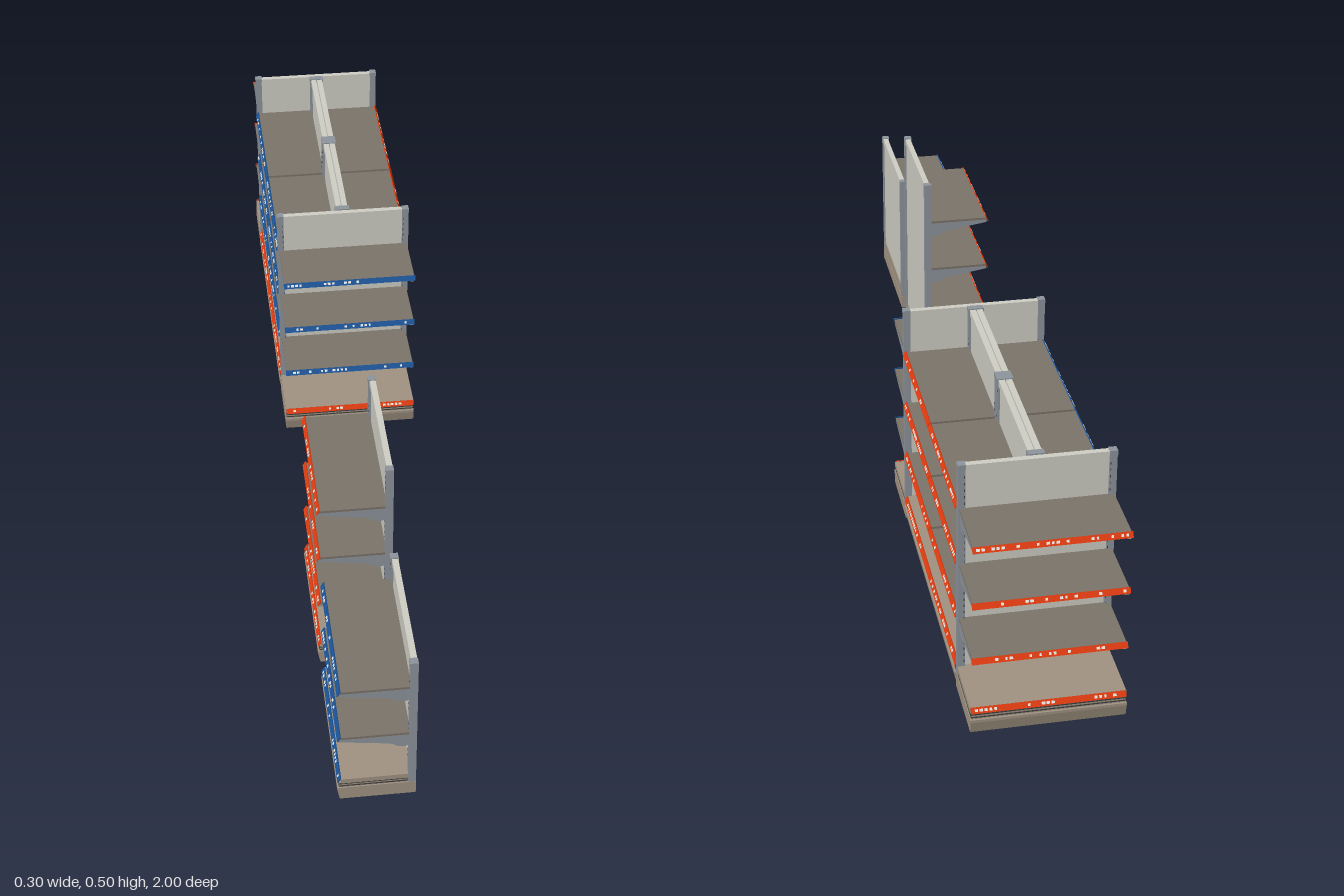
import * as THREE from 'three';
import { mergeGeometries } from 'three/addons/utils/BufferGeometryUtils.js';

const mat = (name, color) => {
  const m = new THREE.MeshStandardMaterial({ color });
  m.name = name;
  return m;
};
const M = {
  steel: mat('steel grey', 0x8d959c),
  panel: mat('panel off-white', 0xd0cfc6),
  shelf: mat('shelf taupe', 0x7c746a),
  base: mat('base beige', 0xa19382),
  red: mat('price strip red', 0xe23c10),
  blue: mat('price strip blue', 0x1d5598),
  label: mat('label white', 0xf2f2ee),
  dark: mat('slot dark', 0x3c3c3c),
};

const W = 0.295, D = 0.15, POST = 0.015; // module width, depth, post size

let seed = 7;
const rand = () => (seed = (seed * 16807) % 2147483647) / 2147483647;

function add(group, name, geometry, material, x = 0, y = 0, z = 0) {
  const mesh = new THREE.Mesh(geometry, material);
  mesh.name = name;
  mesh.position.set(x, y, z);
  group.add(mesh);
  return mesh;
}

// box given by its extents in y and z, centred on x
function slab(group, name, material, w, y0, y1, z0, z1, x = 0) {
  const g = new THREE.BoxGeometry(w, y1 - y0, z1 - z0);
  return add(group, name, g, material, x, (y0 + y1) / 2, (z0 + z1) / 2);
}

// side profile of [z, y] points, extruded across x
function profile(points, width) {
  const shape = new THREE.Shape(points.map(([z, y]) => new THREE.Vector2(z, y)));
  const g = new THREE.ExtrudeGeometry(shape, { depth: width, bevelEnabled: false });
  return g.translate(0, 0, -width / 2).rotateY(-Math.PI / 2);
}

// tilted price strip with clusters of small white labels
function priceStrip(group, material, w, top) {
  const strip = new THREE.Group();
  strip.name = 'priceStrip';
  add(strip, 'stripRail', new THREE.BoxGeometry(w, 0.012, 0.002), material);
  const tags = [];
  for (let x = -w / 2 + 0.01; x < w / 2 - 0.01; x += 0.009) {
    if (rand() < 0.62) continue;
    tags.push(new THREE.BoxGeometry(0.004 + 0.003 * rand(), 0.005, 0.001).translate(x, 0, 0.0012));
  }
  if (tags.length) add(strip, 'labels', mergeGeometries(tags), M.label);
  strip.position.set(0, top - 0.004, D - 0.004);
  strip.rotation.x = -0.5;
  group.add(strip);
}

// cantilever shelf with its two brackets
function shelf(group, y, stripMaterial) {
  const g = new THREE.Group();
  g.name = 'shelf';
  g.position.y = y;
  slab(g, 'shelfBoard', M.shelf, W - 0.007, -0.005, 0, 0.012, 0.145);
  const bracket = profile([[0.012, -0.001], [0.143, -0.001], [0.147, -0.011], [0.138, -0.013],
    [0.06, -0.025], [0.047, -0.028], [0.034, -0.036], [0.024, -0.037], [0.012, -0.034]], 0.008);
  for (const s of [-1, 1]) add(g, 'bracket', bracket, M.steel, s * (W / 2 - 0.0085), 0, 0);
  priceStrip(g, stripMaterial, W - 0.004, 0.001);
  group.add(g);
}

// one single-sided shelving module: back at z = 0, front at +z
function shelfModule(name, height, levels, shelfStrip, baseStrip) {
  const g = new THREE.Group();
  g.name = name;

  // base: toe kick, grooved fascia and bottom shelf
  add(g, 'toeKick', profile([[0, 0], [D - 0.005, 0], [D, 0.024], [D, 0.03], [0, 0.03]], W), M.base);
  slab(g, 'baseFascia', M.base, W - 0.004, 0.03, 0.042, POST, D - 0.004);
  slab(g, 'baseGroove', M.dark, W - 0.002, 0.033, 0.035, POST, D - 0.003);
  slab(g, 'baseGroove', M.dark, W - 0.002, 0.039, 0.041, POST, D - 0.003);
  slab(g, 'baseShelf', M.base, W, 0.042, 0.053, POST, D - 0.007);
  slab(g, 'baseBackPanel', M.base, W - 2 * POST, 0.03, 0.053, 0.001, POST);
  priceStrip(g, baseStrip, W - 0.002, 0.053);

  // back panel with top rail
  slab(g, 'backPanel', M.panel, W - 2 * POST + 0.004, 0.05, height - 0.012, 0.003, 0.01);
  slab(g, 'topRail', M.panel, W - 2 * POST, height - 0.015, height - 0.002, 0.001, 0.013);

  // posts with caps and rows of slots
  for (const s of [-1, 1]) {
    const x = s * (W / 2 - POST / 2);
    slab(g, 'post', M.steel, POST - 0.001, 0.03, height - 0.006, 0, POST, x);
    slab(g, 'postCap', M.steel, POST, height - 0.009, height, 0, POST + 0.001, x);
    const slots = [];
    for (let y = 0.065; y < height - 0.015; y += 0.014) {
      slots.push(new THREE.BoxGeometry(0.0015, 0.005, 0.0006).translate(x - s * 0.005, y, POST));
    }
    add(g, 'postSlots', mergeGeometries(slots), M.dark);
  }

  for (const y of levels) shelf(g, y, shelfStrip);
  return g;
}

export function createModel() {
  const model = new THREE.Group();
  model.name = 'storeShelving';
  const TALL = 0.497, LOW = 0.347, three = [0.163, 0.284, 0.404], two = [0.163, 0.284];
  const place = (module, x, z, turn) => {
    module.position.set(x, 0, z);
    module.rotation.y = turn;
    model.add(module);
  };

  // double-sided aisle of two bays, with an end unit at each end
  const mid = -0.555;
  for (const s of [-1, 1]) {
    place(shelfModule('leftBay', TALL, three, M.red, M.red), 0, mid + s * W / 2, Math.PI / 2);
    place(shelfModule('rightBay', TALL, three, M.blue, M.red), 0, mid + s * W / 2, -Math.PI / 2);
  }
  place(shelfModule('frontEndUnit', TALL, three, M.blue, M.red), 0, mid + W, 0);
  place(shelfModule('rearEndUnit', TALL, three, M.red, M.red), 0, mid - W, Math.PI);

  // free-standing wall units
  place(shelfModule('tallWallUnit', TALL, three, M.red, M.red), 0, 0.4905, -Math.PI / 2);
  place(shelfModule('lowWallUnit', LOW, two, M.blue, M.blue), 0, 0.8525, -Math.PI / 2);
  return model;
}
